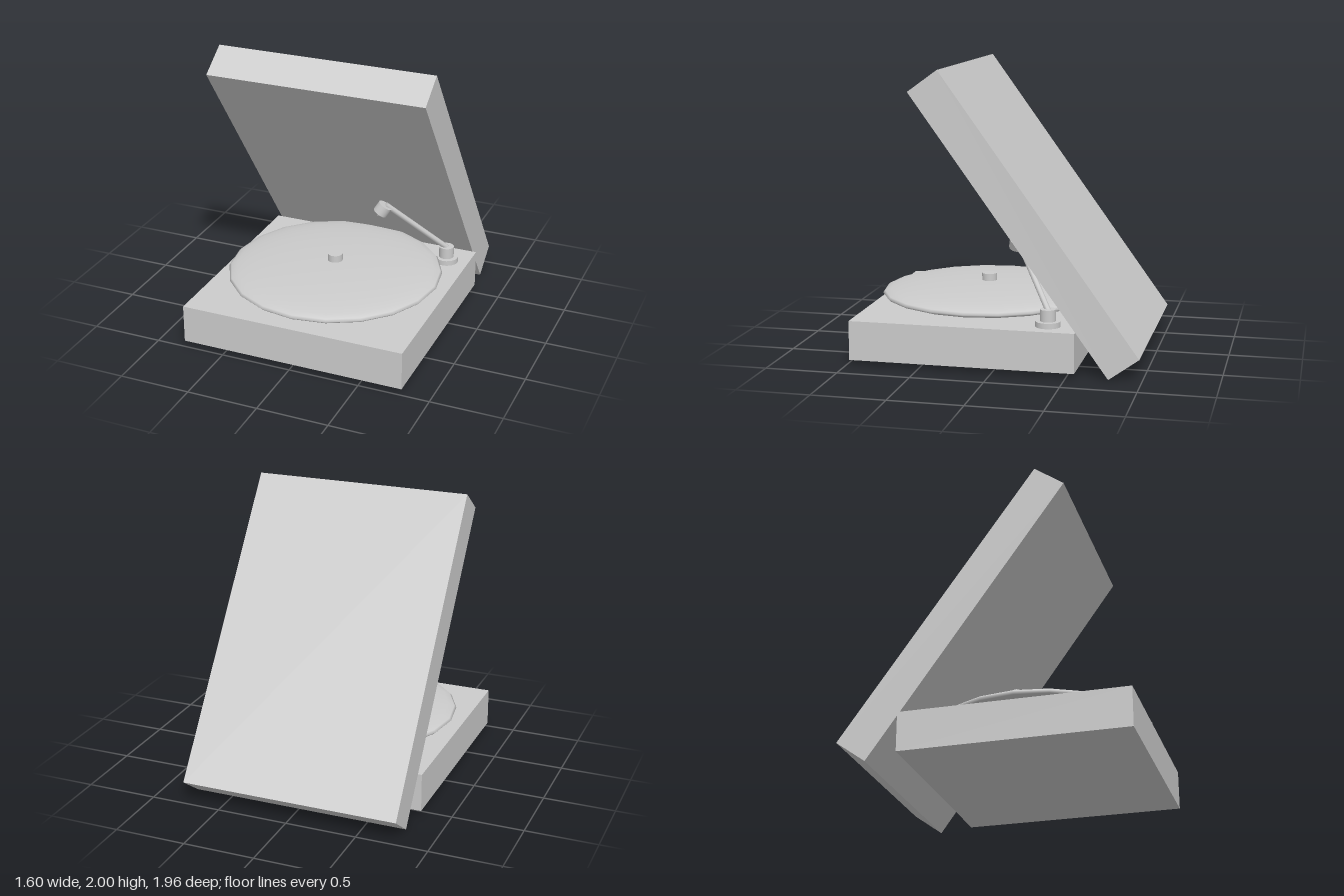
import * as THREE from 'three';

const material = new THREE.MeshStandardMaterial({ color: 0xcccccc });
const UP = new THREE.Vector3(0, 1, 0);

export function createModel() {
  const model = new THREE.Group();
  model.name = 'recordPlayer';

  function add(name, geometry, x, y, z, parent = model) {
    const mesh = new THREE.Mesh(geometry, material);
    mesh.name = name;
    mesh.position.set(x, y, z);
    parent.add(mesh);
    return mesh;
  }

  // Upright cylinder given by its bottom and top heights
  function drum(name, radius, bottom, top, x, z, parent) {
    const geometry = new THREE.CylinderGeometry(radius, radius, top - bottom, 20);
    return add(name, geometry, x, (bottom + top) / 2, z, parent);
  }

  // Case and the solid lid leaning forward over it
  add('base', new THREE.BoxGeometry(1.6, 0.27, 1.54), 0, 0.173, 0.212);
  const lid = add('lid', new THREE.BoxGeometry(1.545, 2.284, 0.25), 0, 1.0025, -0.21);
  lid.rotation.x = Math.atan2(1.34, 1.85);

  // Platter: a smooth, flattened ball
  const platter = add('platter', new THREE.SphereGeometry(1, 20, 16), 0, 0.38, 0.2);
  platter.scale.set(0.755, 0.076, 0.755);
  drum('spindle', 0.053, 0.44, 0.506, 0, 0.2);

  // Pivot of the tone arm
  const toneArm = new THREE.Group();
  toneArm.name = 'toneArm';
  model.add(toneArm);
  drum('pivotFoot', 0.085, 0.3, 0.345, 0.64, -0.352, toneArm);
  drum('pivotPost', 0.053, 0.34, 0.425, 0.64, -0.352, toneArm);

  // Raised arm between the pivot and the head
  const start = new THREE.Vector3(0.65, 0.405, -0.36);
  const end = new THREE.Vector3(0.275, 0.815, -0.065);
  const along = end.clone().sub(start);
  const arm = add('arm', new THREE.CylinderGeometry(0.02, 0.02, along.length(), 8), 0, 0, 0, toneArm);
  arm.position.copy(start).add(end).divideScalar(2);
  arm.quaternion.setFromUnitVectors(UP, along.normalize());

  // Tilted head with its needle
  const head = new THREE.Group();
  head.name = 'head';
  head.position.set(0.255, 0.782, -0.057);
  head.quaternion.setFromUnitVectors(UP, new THREE.Vector3(0.5, 0.82, -0.2).normalize());
  toneArm.add(head);
  drum('headShell', 0.053, -0.035, 0.035, 0, 0, head);
  const needle = add('needle', new THREE.ConeGeometry(0.014, 0.04, 8), 0, -0.05, 0, head);
  needle.rotation.x = Math.PI;

  return model;
}
